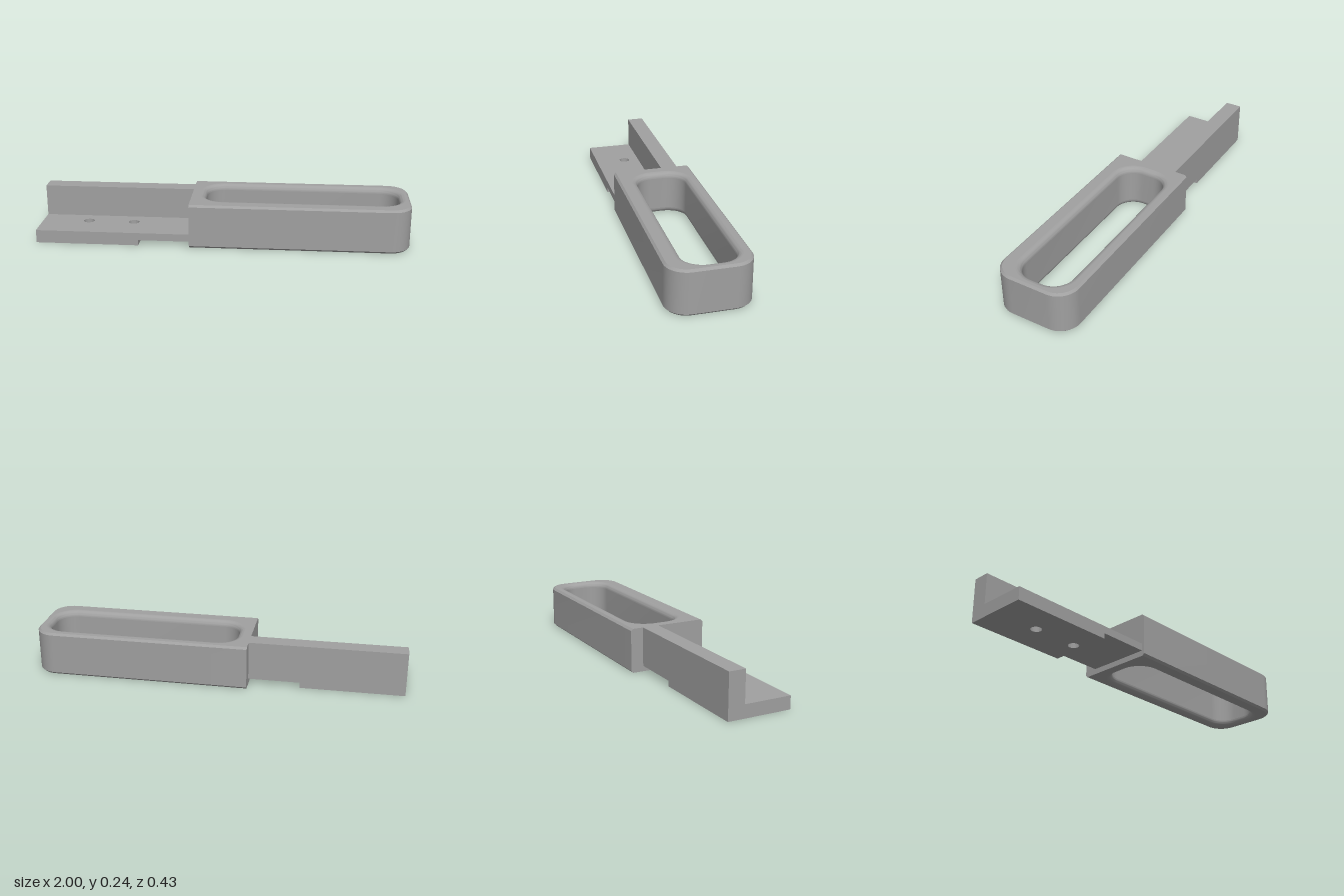
import * as THREE from 'three';
import { toCreasedNormals } from 'three/addons/utils/BufferGeometryUtils.js';

const HEIGHT = 0.24, CHAMFER = 0.011, FILLET = 0.03, END = -0.17;

// Counter-clockwise plan outline (x, -z); left and right corners have their own radii
function outline(x0, x1, s0, s1, rLeft, rRight) {
  const points = [];
  const corner = (x, s, r, start) => {
    if (r === 0) return points.push(new THREE.Vector2(x, s));
    for (let i = 0; i <= 10; i++) {
      const a = start + (i / 10) * Math.PI / 2;
      points.push(new THREE.Vector2(x + r * Math.cos(a), s + r * Math.sin(a)));
    }
  };
  corner(x0 + rLeft, s0 + rLeft, rLeft, Math.PI);
  corner(x1 - rRight, s0 + rRight, rRight, -Math.PI / 2);
  corner(x1 - rRight, s1 - rRight, rRight, 0);
  corner(x0 + rLeft, s1 - rLeft, rLeft, Math.PI / 2);
  return points;
}
const bodyOutline = d => outline(END, 1 - d, -0.215 + d, 0.215 - d, 0, 0.11 - d);
const slotOutline = d => outline(-0.095 - d, 0.945 + d, -0.12 - d, 0.15 + d, 0.1 + d, 0.1 + d);

// Skin between stacked outlines: rising stacks face outward, falling ones inward
function skin(rings) {
  const position = [], index = [], n = rings[0].points.length;
  for (const { points, y } of rings) for (const p of points) position.push(p.x, y, -p.y);
  for (let k = 0; k < rings.length - 1; k++) {
    for (let i = 0; i < n; i++) {
      const a = k * n + i, b = k * n + (i + 1) % n;
      index.push(a, b, b + n, a, b + n, a + n);
    }
  }
  const g = new THREE.BufferGeometry();
  g.setAttribute('position', new THREE.Float32BufferAttribute(position, 3));
  g.setIndex(index);
  return toCreasedNormals(g, 0.6);
}

export function createModel() {
  const model = new THREE.Group();
  const grey = new THREE.MeshStandardMaterial({ color: 0xa0a0a0 });
  grey.name = 'grey';
  const add = (name, geometry) => {
    const mesh = new THREE.Mesh(geometry, grey);
    mesh.name = name;
    model.add(mesh);
    return mesh;
  };

  // Handle: side walls and chamfered rims
  const outer = (d, y) => ({ points: bodyOutline(d), y });
  add('handleWall', skin([outer(0, CHAMFER), outer(0, HEIGHT - CHAMFER)]));
  add('handleTopChamfer', skin([outer(0, HEIGHT - CHAMFER), outer(CHAMFER, HEIGHT)]));
  add('handleBottomChamfer', skin([outer(CHAMFER, 0), outer(0, CHAMFER)]));
  // Corner slivers closing the flat end beside the chamfers
  // are covered by the open end loop of each skin.

  // Slot: straight wall with rounded lips above and below
  const inner = (d, y) => ({ points: slotOutline(d), y });
  add('slotWall', skin([inner(0, HEIGHT - FILLET), inner(0, FILLET)]));
  const topLip = [], bottomLip = [];
  for (let i = 0; i <= 8; i++) {
    const a = (i / 8) * Math.PI / 2;
    const rise = FILLET * (1 - Math.cos(a)), spread = FILLET * (1 - Math.sin(a));
    topLip.push(inner(spread, HEIGHT - rise));
    bottomLip.unshift(inner(spread, rise));
  }
  // Order each lip from its top ring to its bottom ring
  for (const [name, rings] of [['slotTopLip', topLip], ['slotBottomLip', bottomLip]]) {
    for (const ring of rings) {
      const fromFace = Math.min(ring.y, HEIGHT - ring.y) / FILLET;
      const d = FILLET * (1 - Math.sqrt(Math.max(0, 1 - (1 - fromFace) ** 2)));
      ring.points = slotOutline(d);
    }
    add(name, skin(rings));
  }

  // Flat top and bottom faces around the slot
  const face = new THREE.Shape(bodyOutline(CHAMFER));
  face.holes.push(new THREE.Path(slotOutline(FILLET)));
  const top = new THREE.ShapeGeometry(face).rotateX(-Math.PI / 2).translate(0, HEIGHT, 0);
  add('handleTop', top);
  const bottom = new THREE.ShapeGeometry(face).rotateX(-Math.PI / 2);
  bottom.setIndex(Array.from(bottom.index.array).reverse());
  bottom.computeVertexNormals();
  add('handleBottom', bottom);

  // Upright rail with the stepped underside
  const rail = new THREE.Shape([
    [-1, 0], [-0.445, 0], [-0.445, 0.03], [END, 0.03], [END, HEIGHT], [-1, HEIGHT],
  ].map(([x, y]) => new THREE.Vector2(x, y)));
  add('rail', new THREE.ExtrudeGeometry(rail, { depth: 0.09, bevelEnabled: false })
    .translate(0, 0, -0.145));

  // Mounting plate: thick drilled end and thinner neck
  const plate = new THREE.Shape(outline(-1, -0.445, -0.2, 0.055, 0, 0));
  for (const x of [-0.745, -0.495]) {
    plate.holes.push(new THREE.Path().absarc(x, -0.03, 0.029, 0, Math.PI * 2, true));
  }
  const drilled = new THREE.ExtrudeGeometry(plate, { depth: 0.07, bevelEnabled: false, curveSegments: 24 });
  add('mountingPlate', toCreasedNormals(drilled.rotateX(-Math.PI / 2), 0.6));
  add('plateNeck', new THREE.BoxGeometry(END + 0.445, 0.04, 0.255))
    .position.set((END - 0.445) / 2, 0.05, 0.0725);

  return model;
}
